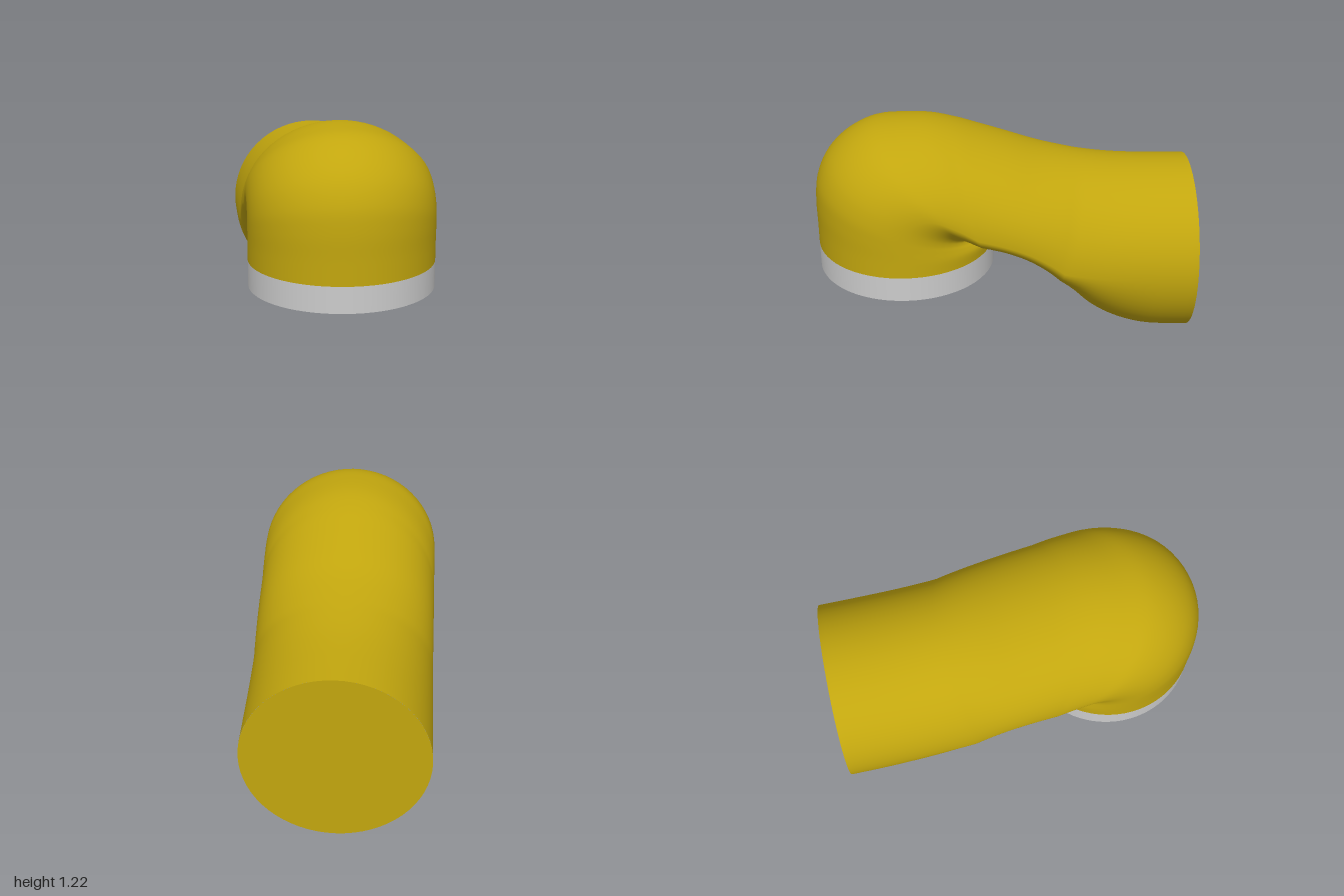
import * as THREE from 'three';

const R = 0.475; // pipe radius
const COLLAR_Z = 0.525;

// Matching points on the outer and inner side of the bend: [outer z, outer y, inner z, inner y]
const SECTIONS = [
  [1, 0.54, 0.05, 0.54],
  [1, 0.66, 0.05, 0.59],
  [1, 0.8, 0.07, 0.603],
  [0.985, 0.92, 0.09, 0.604],
  [0.93, 1.04, 0.11, 0.605],
  [0.83, 1.14, 0.125, 0.605],
  [0.7, 1.205, 0.135, 0.605],
  [0.55, 1.222, 0.14, 0.605],
  [0.4, 1.22, 0.13, 0.604],
  [0.27, 1.195, 0.1, 0.6],
  [0.13, 1.151, 0.06, 0.592],
  [-0.03, 1.098, 0, 0.575],
  [-0.19, 1.045, -0.1, 0.53],
  [-0.34, 1.01, -0.22, 0.44],
  [-0.48, 0.985, -0.34, 0.31],
  [-0.6, 0.97, -0.45, 0.18],
  [-0.72, 0.962, -0.58, 0.085],
  [-0.85, 0.958, -0.75, 0.02],
  [-1, 0.955, -1, 0],
];

// Loft of rounded sections: a near-circular outer half and a flatter inner half
// where the bend squeezes the pipe
function pipeGeometry(rings = 90, sides = 64) {
  const curve = (k) => new THREE.CatmullRomCurve3(
    SECTIONS.map((s) => new THREE.Vector3(0, s[k + 1], s[k])));
  const outer = curve(0);
  const inner = curve(2);
  const pos = [];
  const index = [];
  for (let s = 0; s <= rings; s++) {
    const o = outer.getPoint(s / rings);
    const dir = inner.getPoint(s / rings).sub(o);
    const length = dir.length();
    dir.normalize();
    const outerHalf = Math.min(R, length * 0.76);
    const c = o.addScaledVector(dir, outerHalf);
    for (let i = 0; i < sides; i++) {
      const a = (i / sides) * Math.PI * 2;
      const cos = Math.cos(a);
      const h = -cos * (cos > 0 ? outerHalf : length - outerHalf);
      pos.push(R * Math.sin(a), c.y + dir.y * h, c.z + dir.z * h);
      if (s === rings) continue;
      const p = s * sides + i;
      const q = s * sides + ((i + 1) % sides);
      index.push(p, q, p + sides, q, q + sides, p + sides);
    }
  }
  const g = new THREE.BufferGeometry();
  g.setAttribute('position', new THREE.Float32BufferAttribute(pos, 3));
  g.setIndex(index);
  g.computeVertexNormals();
  return g;
}

export function createModel() {
  const group = new THREE.Group();
  const yellow = new THREE.MeshStandardMaterial({ color: 0xc2a60e });
  const grey = new THREE.MeshStandardMaterial({ color: 0xcccccc });
  const add = (name, geometry, material) => {
    const mesh = new THREE.Mesh(geometry, material);
    mesh.name = name;
    group.add(mesh);
    return mesh;
  };

  // Bent pipe body and its flat rear end
  add('bentPipe', pipeGeometry(), yellow);
  const rear = add('rearCap', new THREE.CircleGeometry(1, 64), yellow);
  rear.scale.set(R, 0.4775, 1);
  rear.rotation.y = Math.PI;
  rear.position.set(0, 0.4775, -1);

  // Collar under the front opening: outer wall and lower rim
  const wall = add('collarWall', new THREE.CylinderGeometry(R, R, 0.135, 64, 1, true), grey);
  wall.position.set(0, 0.4725, COLLAR_Z);
  const rim = add('collarRim', new THREE.RingGeometry(0.403, R, 64), grey);
  rim.rotation.x = Math.PI / 2;
  rim.position.set(0, 0.405, COLLAR_Z);

  // Flat plug filling the collar, flush with its rim
  const plug = add('collarPlug', new THREE.CircleGeometry(0.403, 64), yellow);
  plug.rotation.x = Math.PI / 2;
  plug.position.set(0, 0.405, COLLAR_Z);
  return group;
}
